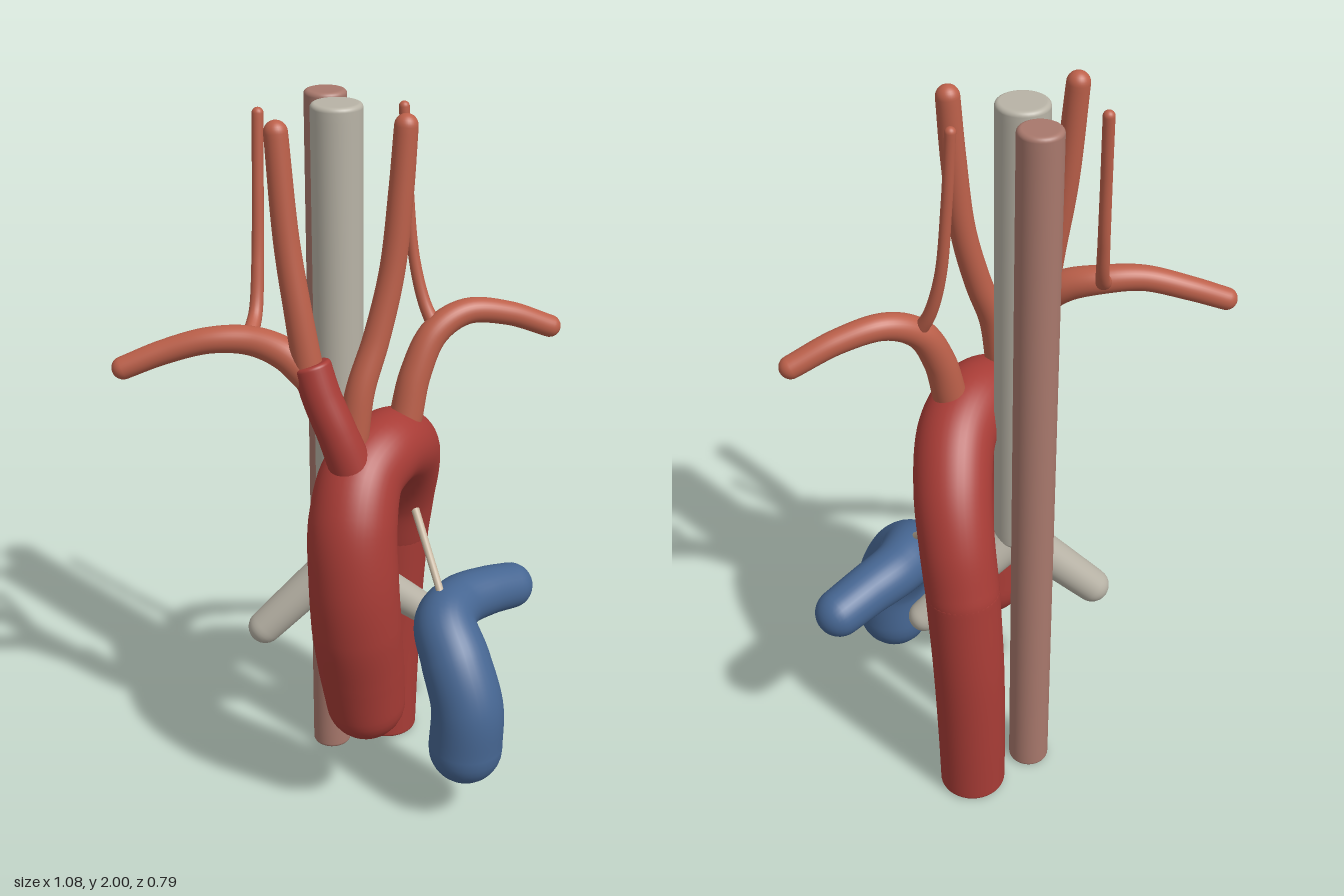
import * as THREE from 'three';

const mat = (name, color) => {
  const m = new THREE.MeshStandardMaterial({ color });
  m.name = name;
  return m;
};

// Smooth tube through [x, y, z, radius] points, closed at both ends.
// bevel = edge rounding of the caps; left out, the ends are hemispheres.
function vessel(points, { bevel = Infinity, sides = 32, steps = 48 } = {}) {
  const curve = new THREE.CatmullRomCurve3(points.map(p => new THREE.Vector3(p[0], p[1], p[2])));
  const frames = curve.computeFrenetFrames(steps, false);
  const last = points.length - 1;
  const radiusAt = u => {
    const t = curve.getUtoTmapping(u) * last;
    const i = Math.min(Math.floor(t), last - 1);
    return THREE.MathUtils.lerp(points[i][3], points[i + 1][3], t - i);
  };

  const pos = [], index = [];
  const v = new THREE.Vector3();
  const ring = (k, radius, shift) => {
    const c = curve.getPointAt(k / steps).addScaledVector(frames.tangents[k], shift);
    for (let s = 0; s < sides; s++) {
      const a = (s / sides) * Math.PI * 2;
      v.copy(c)
        .addScaledVector(frames.normals[k], Math.cos(a) * radius)
        .addScaledVector(frames.binormals[k], Math.sin(a) * radius);
      pos.push(v.x, v.y, v.z);
    }
  };
  const cap = (k, dir) => {
    const r = radiusAt(k / steps), b = Math.min(bevel, r), n = 8;
    const angles = Array.from({ length: n }, (_, i) => ((i + 1) / n) * Math.PI / 2);
    const rings = angles.map(t => [Math.max(r - b + b * Math.cos(t), r * 0.01), dir * b * Math.sin(t)]);
    rings.push([(r - b) * 0.9 + r * 0.005, dir * b], [0, dir * b]);
    if (dir < 0) rings.reverse();
    rings.forEach(([radius, shift]) => ring(k, radius, shift));
  };

  cap(0, -1);
  for (let k = 0; k <= steps; k++) ring(k, radiusAt(k / steps), 0);
  cap(steps, 1);

  const rows = pos.length / 3 / sides;
  for (let j = 0; j < rows - 1; j++) {
    for (let s = 0; s < sides; s++) {
      const n = (s + 1) % sides;
      const a = j * sides + s, b = j * sides + n;
      index.push(a, b, a + sides, b, b + sides, a + sides);
    }
  }
  const g = new THREE.BufferGeometry();
  g.setAttribute('position', new THREE.Float32BufferAttribute(pos, 3));
  g.setIndex(index);
  g.computeVertexNormals();
  return g;
}

export function createModel() {
  const model = new THREE.Group();
  model.name = 'aorticArch';

  const aortaRed = mat('aorta red', 0xa83c36);
  const branchRed = mat('branch artery red', 0xbc604a);
  const blue = mat('pulmonary blue', 0x466692);
  const grey = mat('airway grey', 0xb8b3a6);
  const pink = mat('oesophagus pink', 0xa8786c);
  const beige = mat('ligament beige', 0xc4b49e);

  const add = (name, material, points, options) => {
    const mesh = new THREE.Mesh(vessel(points, options), material);
    mesh.name = name;
    model.add(mesh);
  };

  // Aorta: rounded root and ascending part, arch, then flat-cut descending part
  add('ascendingAortaAndArch', aortaRed, [
    [-0.085, 0.38, 0.085, 0.11], [-0.105, 0.5, 0.09, 0.118], [-0.133, 0.65, 0.103, 0.122],
    [-0.145, 0.8, 0.105, 0.12], [-0.13, 0.95, 0.085, 0.118], [-0.07, 1.055, 0.052, 0.111],
    [0.03, 1.092, 0.025, 0.106], [0.13, 1.06, -0.02, 0.105], [0.21, 0.96, -0.09, 0.103],
    [0.25, 0.84, -0.145, 0.1], [0.265, 0.7, -0.182, 0.099],
  ], { steps: 80, sides: 40 });
  add('descendingAorta', aortaRed, [
    [0.265, 0.7, -0.182, 0.099], [0.263, 0.45, -0.2, 0.097],
    [0.258, 0.2, -0.205, 0.094], [0.255, 0.012, -0.205, 0.091],
  ], { bevel: 0.012, sides: 40 });

  // Arch branches
  add('brachiocephalicTrunk', aortaRed, [
    [-0.115, 1.09, 0.07, 0.058], [-0.145, 1.2, 0.045, 0.053],
    [-0.168, 1.3, 0.01, 0.051], [-0.177, 1.376, -0.015, 0.05],
  ], { bevel: 0.01 });
  add('rightCarotid', branchRed, [
    [-0.18, 1.34, -0.02, 0.04], [-0.195, 1.5, -0.04, 0.036],
    [-0.207, 1.7, -0.07, 0.033], [-0.213, 1.968, -0.095, 0.03],
  ]);
  add('rightSubclavian', branchRed, [
    [-0.18, 1.35, -0.02, 0.045], [-0.21, 1.4, -0.08, 0.043], [-0.26, 1.428, -0.155, 0.038],
    [-0.34, 1.43, -0.225, 0.034], [-0.43, 1.397, -0.305, 0.032], [-0.512, 1.357, -0.368, 0.03],
  ]);
  add('rightVertebral', branchRed, [
    [-0.255, 1.43, -0.17, 0.022], [-0.2, 1.475, -0.212, 0.018], [-0.167, 1.6, -0.24, 0.016],
    [-0.145, 1.8, -0.258, 0.015], [-0.13, 1.968, -0.27, 0.015],
  ], { sides: 20 });
  add('leftCarotid', branchRed, [
    [-0.09, 1.17, 0.04, 0.042], [-0.068, 1.3, 0.045, 0.038], [-0.018, 1.43, 0.05, 0.035],
    [0.028, 1.6, 0.057, 0.033], [0.052, 1.8, 0.062, 0.032], [0.065, 1.968, 0.065, 0.03],
  ]);
  add('leftSubclavian', branchRed, [
    [0.115, 1.16, 0.02, 0.045], [0.147, 1.28, 0.022, 0.042], [0.205, 1.385, 0.032, 0.039],
    [0.29, 1.43, 0.06, 0.035], [0.4, 1.413, 0.11, 0.032], [0.51, 1.363, 0.163, 0.03],
  ]);
  add('leftVertebral', branchRed, [
    [0.212, 1.39, 0.03, 0.02], [0.205, 1.46, -0.01, 0.017], [0.197, 1.58, -0.043, 0.015],
    [0.192, 1.78, -0.064, 0.014], [0.19, 1.968, -0.078, 0.014],
  ], { sides: 20 });

  // Pulmonary trunk bending into its left branch
  add('pulmonaryArtery', blue, [
    [0.113, 0.235, 0.285, 0.104], [0.116, 0.37, 0.283, 0.101], [0.122, 0.49, 0.227, 0.097],
    [0.15, 0.565, 0.155, 0.088], [0.24, 0.58, 0.115, 0.077], [0.35, 0.572, 0.11, 0.071],
    [0.452, 0.553, 0.112, 0.067],
  ], { steps: 64 });
  add('ligament', beige, [[0.225, 0.82, -0.055, 0.012], [0.19, 0.73, 0.04, 0.011], [0.15, 0.62, 0.15, 0.011]],
    { sides: 16, steps: 12 });

  // Airway: windpipe and its two bronchi
  add('trachea', grey, [[0.003, 0.72, -0.123, 0.064], [0.003, 1.988, -0.123, 0.067]], { bevel: 0.012 });
  add('leftBronchus', grey, [[0.005, 0.71, -0.12, 0.058], [0.248, 0.488, -0.005, 0.043]]);
  add('rightBronchus', grey, [[0, 0.71, -0.125, 0.058], [-0.172, 0.5, -0.25, 0.048]]);

  // Oesophagus behind
  add('oesophagus', pink, [[0.074, 0.012, -0.25, 0.056], [0.074, 1.988, -0.25, 0.056]], { bevel: 0.012 });

  return model;
}
